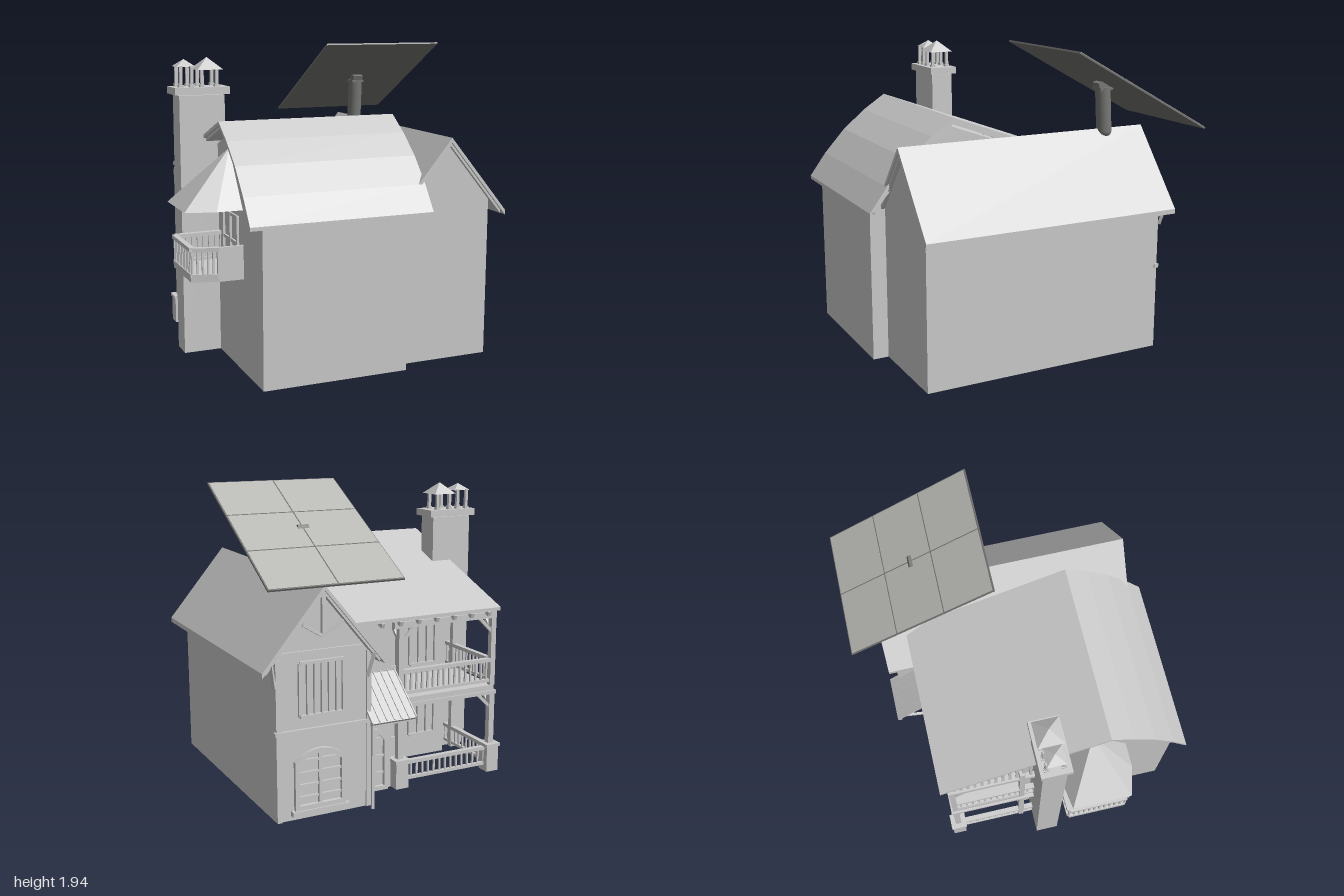
import * as THREE from 'three';
import { ConvexGeometry } from 'three/addons/geometries/ConvexGeometry.js';

const grey = new THREE.MeshStandardMaterial({ color: 0xcccccc, flatShading: true, side: THREE.DoubleSide });
const cell = new THREE.MeshStandardMaterial({ color: 0xb8b8b4 });
const steel = new THREE.MeshStandardMaterial({ color: 0x777775 });
const V = (x, y, z) => new THREE.Vector3(x, y, z);

function add(parent, name, geo, mat = grey) {
  const m = new THREE.Mesh(geo, mat);
  m.name = name;
  parent.add(m);
  return m;
}
function group(parent, name) {
  const g = new THREE.Group();
  g.name = name;
  parent.add(g);
  return g;
}
// axis-aligned box from its limits
function box(parent, name, x0, x1, y0, y1, z0, z1, mat) {
  const m = add(parent, name, new THREE.BoxGeometry(x1 - x0, y1 - y0, z1 - z0), mat);
  m.position.set((x0 + x1) / 2, (y0 + y1) / 2, (z0 + z1) / 2);
  return m;
}
// straight timber between two points
function beam(parent, name, a, b, w, h = w, mat) {
  const m = add(parent, name, new THREE.BoxGeometry(w, h, a.distanceTo(b)), mat);
  m.position.copy(a).add(b).multiplyScalar(0.5);
  m.lookAt(b);
  return m;
}
const shapeOf = pts => new THREE.Shape(pts.map(p => new THREE.Vector2(p[0], p[1])));
// (x, y) outline extruded along z
function alongZ(parent, name, shape, z0, z1) {
  const geo = new THREE.ExtrudeGeometry(shape, { depth: z1 - z0, bevelEnabled: false, curveSegments: 8 });
  return add(parent, name, geo.translate(0, 0, z0));
}
// (z, y) outline extruded along x
function alongX(parent, name, shape, x0, x1) {
  const geo = new THREE.ExtrudeGeometry(shape, { depth: x1 - x0, bevelEnabled: false });
  return add(parent, name, geo.rotateY(-Math.PI / 2).translate(x1, 0, 0));
}
// band of constant vertical thickness below a polyline
const band = (pts, drop, th) => shapeOf([
  ...pts.map(p => [p[0], p[1] - drop]),
  ...pts.slice().reverse().map(p => [p[0], p[1] - drop - th])]);
// railing with balusters between two plan points
function railing(parent, name, x0, z0, x1, z1, y0, y1, n) {
  const g = group(parent, name);
  beam(g, 'handrail', V(x0, y1 - 0.012, z0), V(x1, y1 - 0.012, z1), 0.034, 0.024);
  beam(g, 'bottomRail', V(x0, y0 + 0.01, z0), V(x1, y0 + 0.01, z1), 0.024, 0.02);
  for (let i = 0; i <= n; i++) {
    const x = x0 + (x1 - x0) * i / n, z = z0 + (z1 - z0) * i / n;
    box(g, 'baluster', x - 0.006, x + 0.006, y0, y1 - 0.02, z - 0.006, z + 0.006);
  }
}
// arched outline standing on y0, sides reaching y1, crown at y2
function arch(S, x0, x1, y0, y1, y2) {
  const s = new S();
  s.moveTo(x0, y0);
  s.lineTo(x1, y0);
  s.lineTo(x1, y1);
  s.quadraticCurveTo((x0 + x1) / 2, 2 * y2 - y1, x0, y1);
  s.closePath();
  return s;
}
// window or door with arched frame, planks and cross bars, on a wall facing -z
function archedOpening(parent, name, x0, x1, y0, y1, y2, z, bars) {
  const g = group(parent, name), t = 0.028;
  const s = arch(THREE.Shape, x0, x1, y0, y1, y2);
  s.holes.push(arch(THREE.Path, x0 + t, x1 - t, y0 + t, y1 - t / 2, y2 - t));
  alongZ(g, 'frame', s, z - 0.025, z);
  const mid = (x0 + x1) / 2;
  box(g, 'mullion', mid - 0.01, mid + 0.01, y0 + t, y2 - t, z - 0.018, z);
  for (let i = 1; i <= bars; i++) {
    const y = y0 + (y1 - y0) * i / bars;
    box(g, 'bar', x0 + t, x1 - t, y - 0.007, y + 0.007, z - 0.015, z);
  }
}
// rectangular frame with panes on a wall facing -z
function frame(parent, name, x0, x1, y0, y1, z, panes) {
  const g = group(parent, name), t = 0.018;
  for (const y of [y0, y1]) box(g, 'rail', x0, x1, y - t / 2, y + t / 2, z - 0.02, z);
  for (let i = 0; i <= panes; i++) {
    const x = x0 + (x1 - x0) * i / panes, w = i % panes ? t / 4 : t / 2;
    box(g, 'stile', x - w, x + w, y0, y1, z - 0.018, z);
  }
}

export function createModel() {
  const house = new THREE.Group();
  house.name = 'house';

  // main house: walls follow the curved roof line
  const roofLine = [[-0.64, 1.12], [0.43, 1.51], [0.58, 1.41], [0.73, 1.285], [0.87, 1.13], [0.98, 0.98]];
  const main = group(house, 'mainHouse');
  const wallTop = [[-0.12, 1.31], ...roofLine.slice(1, 5), [0.93, 1.045]].map(p => [p[0], p[1] - 0.06]);
  alongX(main, 'mainWalls', shapeOf([[0.93, 0], [-0.12, 0], ...wallTop]), -0.66, 0.26);
  alongX(main, 'entranceWalls', shapeOf([[-0.1, 0], [-0.55, 0], [-0.55, 1.1], [-0.1, 1.26]]), 0, 0.27);
  alongX(main, 'mainRoof', band(roofLine, 0, 0.022), -0.75, 0.4);
  const inner = [[-0.61, 1.131], ...roofLine.slice(1, 5), [0.955, 1.014]];
  alongX(main, 'roofBoards', band(inner, 0.022, 0.02), -0.735, 0.385);
  alongX(main, 'roofTrim', band(inner.slice(1, 5).concat([[0.94, 1.035]]), 0.042, 0.03), -0.71, 0.37);

  // side wing with its own gable
  const wing = group(house, 'wing');
  alongZ(wing, 'wingWalls', shapeOf([[0.26, 0], [0.87, 0], [0.87, 1.01], [0.58, 1.36], [0.26, 0.98]]), -0.75, 0.83);
  alongZ(wing, 'wingRoof', band([[0.19, 0.93], [0.58, 1.4], [0.97, 0.93]], 0, 0.03), -0.81, 0.87);
  alongZ(wing, 'wingRoofBoards', band([[0.215, 0.96], [0.58, 1.4], [0.945, 0.96]], 0.03, 0.022), -0.795, 0.855);
  box(wing, 'stringCourse', 0.25, 0.88, 0.53, 0.555, -0.768, -0.74);
  for (const s of [-1, 1]) {
    beam(wing, 'gableStrut', V(0.58 + s * 0.13, 1.18, -0.785), V(0.58, 1.1, -0.765), 0.018);
    beam(wing, 'eaveBracket', V(0.58 + s * 0.3, 0.82, -0.76), V(0.58 + s * 0.33, 0.97, -0.79), 0.02);
  }
  box(wing, 'kingPost', 0.568, 0.592, 1.12, 1.36, -0.797, -0.773);
  for (const x of [0.27, 0.855]) box(wing, 'cornerTrim', x - 0.015, x + 0.015, 0, 0.98, -0.76, -0.74);
  archedOpening(wing, 'archedWindow', 0.43, 0.76, 0.06, 0.36, 0.43, -0.75, 4);
  box(wing, 'windowSill', 0.41, 0.78, 0.03, 0.06, -0.785, -0.75);
  frame(wing, 'upperShutter', 0.44, 0.72, 0.63, 0.95, -0.75, 6);
  box(wing, 'gableBeam', 0.31, 0.85, 1.0, 1.02, -0.765, -0.75);

  // entrance door under a lean-to canopy
  const entry = group(house, 'entrance');
  archedOpening(entry, 'frontDoor', 0.03, 0.23, 0, 0.34, 0.41, -0.55, 3);
  beam(entry, 'canopy', V(0.13, 0.765, -0.55), V(0.13, 0.535, -0.825), 0.3, 0.015);
  for (let i = 0; i <= 6; i++) {
    const x = -0.02 + i * 0.05;
    beam(entry, 'canopyBatten', V(x, 0.775, -0.55), V(x, 0.545, -0.825), 0.008, 0.012);
  }
  box(entry, 'canopyBeam', -0.02, 0.28, 0.52, 0.54, -0.82, -0.8);
  box(entry, 'canopyPost', 0.262, 0.278, 0, 0.54, -0.818, -0.802);
  for (const x of [-0.01, 0.27]) beam(entry, 'canopyBracket', V(x, 0.5, -0.55), V(x, 0.57, -0.76), 0.016);

  // two-storey porch
  const porch = group(house, 'porch');
  for (const x of [-0.74, -0.05]) {
    box(porch, 'pedestal', x - 0.045, x + 0.045, 0, 0.17, -0.615, -0.525);
    box(porch, 'pedestalCap', x - 0.053, x + 0.053, 0.17, 0.19, -0.623, -0.517);
    box(porch, 'lowerPost', x - 0.02, x + 0.02, 0.19, 0.54, -0.59, -0.55);
    box(porch, 'upperPost', x - 0.018, x + 0.018, 0.59, 1.09, -0.588, -0.552);
    const s = x < -0.4 ? 1 : -1;
    for (const y of [0.53, 1.04]) {
      beam(porch, 'brace', V(x, y - 0.1, -0.57), V(x + s * 0.1, y, -0.57), 0.02);
      beam(porch, 'brace', V(x, y - 0.1, -0.57), V(x, y, -0.47), 0.02);
    }
  }
  for (const [y0, y1] of [[0.02, 0.54], [0.59, 1.15]]) box(porch, 'sidePost', -0.757, -0.723, y0, y1, -0.13, -0.095);
  box(porch, 'balconyFloor', -0.75, 0, 0.55, 0.59, -0.59, -0.11);
  box(porch, 'balconyFascia', -0.765, -0.03, 0.53, 0.555, -0.6, -0.57);
  box(porch, 'balconySideFascia', -0.765, -0.735, 0.53, 0.555, -0.6, -0.03);
  box(porch, 'backTopBeam', -0.76, 0, 1.04, 1.08, -0.59, -0.55);
  box(porch, 'sideTopBeam', -0.755, -0.72, 1.03, 1.07, -0.59, -0.03);
  railing(porch, 'lowerRailing', -0.695, -0.57, -0.095, -0.57, 0.04, 0.17, 14);
  railing(porch, 'lowerSideRailing', -0.74, -0.525, -0.74, -0.03, 0.04, 0.17, 11);
  railing(porch, 'upperRailing', -0.74, -0.57, -0.05, -0.57, 0.61, 0.77, 17);
  railing(porch, 'upperSideRailing', -0.74, -0.57, -0.74, -0.03, 0.61, 0.77, 13);
  for (let i = 0; i < 12; i++) {
    const z = -0.55 + i * 0.045;
    box(porch, 'gableSlat', -0.742, -0.73, 1.05, 1.08 + 0.364 * (z + 0.64), z - 0.009, z + 0.009);
  }
  for (let i = 0; i < 7; i++) {
    const x = -0.68 + i * 0.13;
    beam(porch, 'rafter', V(x, 1.075, -0.62), V(x, 1.255, -0.12), 0.022, 0.03);
  }
  for (const [x0, x1] of [[-0.58, -0.38], [-0.28, -0.08]]) {
    frame(porch, 'upperWindow', x0, x1, 0.66, 0.98, -0.12, 3);
    frame(porch, 'lowerWindow', x0, x1, 0.16, 0.44, -0.12, 3);
  }

  // side balcony with hipped hood and door
  const bay = group(house, 'sideBalcony');
  const floor = new THREE.ExtrudeGeometry(
    shapeOf([[-0.65, -0.14], [-0.97, -0.16], [-0.97, -0.55], [-0.81, -0.6], [-0.65, -0.6]]), { depth: 0.028, bevelEnabled: false });
  add(bay, 'balconySlab', floor.rotateX(-Math.PI / 2).translate(0, 0.583, 0));
  railing(bay, 'sideRailing', -0.96, 0.16, -0.96, 0.545, 0.61, 0.79, 11);
  railing(bay, 'angledRailing', -0.96, 0.545, -0.81, 0.59, 0.61, 0.79, 5);
  railing(bay, 'returnRailing', -0.96, 0.16, -0.66, 0.15, 0.61, 0.79, 8);
  box(bay, 'frontPanel', -0.82, -0.65, 0.6, 0.79, 0.58, 0.6);
  add(bay, 'hood', new ConvexGeometry([V(-0.66, 1.34, 0.35), V(-0.66, 1.0, 0.11), V(-1, 1.0, 0.16),
    V(-1, 1.0, 0.545), V(-0.82, 1.0, 0.595), V(-0.66, 1.0, 0.595)]));
  for (const z of [0.24, 0.375, 0.51]) box(bay, 'doorStile', -0.675, -0.655, 0.61, 0.95, z - 0.01, z + 0.01);
  for (const y of [0.64, 0.78, 0.94]) box(bay, 'doorRail', -0.672, -0.655, y - 0.01, y + 0.01, 0.24, 0.51);

  // chimney with two capped pots
  const chimney = group(house, 'chimney');
  box(chimney, 'stack', -0.9, -0.61, 0, 1.64, -0.03, 0.12);
  box(chimney, 'stackCap', -0.93, -0.58, 1.645, 1.69, -0.05, 0.14);
  for (const [x, r, y0, y1] of [[-0.847, 0.06, 1.815, 1.86], [-0.7, 0.082, 1.795, 1.87]]) {
    const cap = add(chimney, 'potRoof', new THREE.ConeGeometry(r * Math.SQRT2, y1 - y0, 4).rotateY(Math.PI / 4));
    cap.position.set(x, (y0 + y1) / 2, 0.043);
    for (const dx of [-1, 1]) for (const z of [-0.01, 0.095]) {
      const px = x + dx * r * 0.58;
      box(chimney, 'potPost', px - 0.01, px + 0.01, 1.69, y0 + 0.005, z - 0.01, z + 0.01);
      box(chimney, 'potFoot', px - 0.015, px + 0.015, 1.69, 1.705, z - 0.015, z + 0.015);
    }
  }

  // solar panel tilted on a pole
  const solar = group(house, 'solarPanel');
  const pole = add(solar, 'pole', new THREE.CylinderGeometry(0.048, 0.048, 0.28, 20), steel);
  pole.position.set(0.58, 1.52, -0.52);
  pole.rotation.x = 0.06;
  const foot = add(solar, 'poleFoot', new THREE.SphereGeometry(0.048, 20, 10), steel);
  foot.position.set(0.58, 1.385, -0.528);
  box(solar, 'poleCollar', 0.535, 0.625, 1.645, 1.66, -0.56, -0.465, steel);
  beam(solar, 'poleBracket', V(0.58, 1.64, -0.51), V(0.58, 1.7, -0.49), 0.07, 0.07, steel);
  const panel = group(solar, 'panel');
  panel.position.set(0.5825, 1.68, -0.53);
  panel.rotation.x = -Math.atan2(0.5, 0.91);
  box(panel, 'panelFrame', -0.4175, 0.4175, -0.006, 0.005, -0.522, 0.522, steel);
  for (let i = 0; i < 2; i++) for (let j = 0; j < 3; j++) {
    const x = -0.411 + i * 0.415, z = -0.515 + j * 0.3455;
    box(panel, 'solarCell', x, x + 0.407, 0.004, 0.008, z, z + 0.337, cell);
  }
  return house;
}
